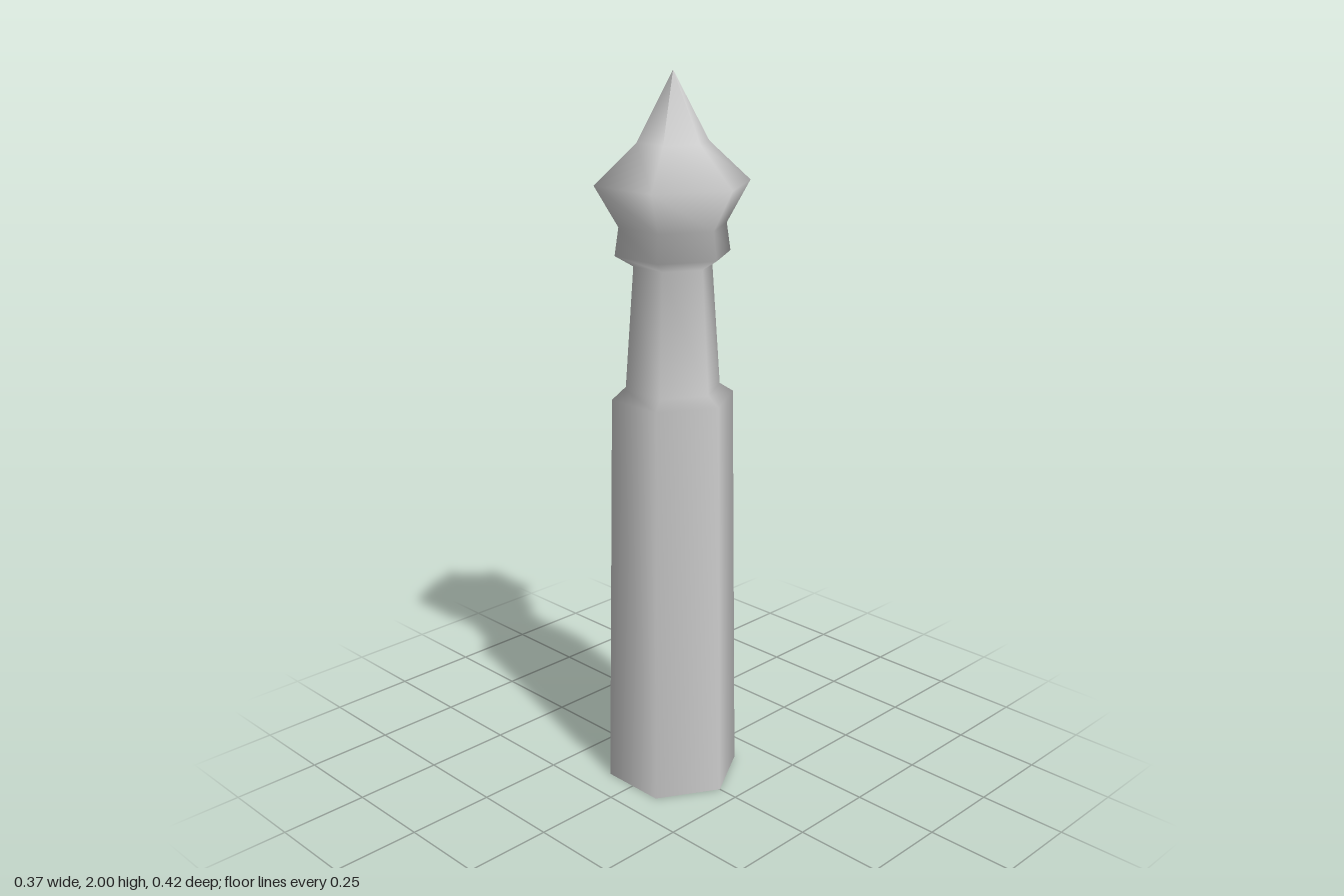
import * as THREE from 'three';

export function createModel() {
  const group = new THREE.Group();

  // Outline from foot to tip: [corner radius, height]
  const profile = [
    [0.19, 0], [0.17, 1.14],       // tapered shaft
    [0.132, 1.165], [0.108, 1.5],  // shoulder and neck
    [0.158, 1.53], [0.147, 1.605], // collar
    [0.211, 1.715], [0.097, 1.82], // bulb
    [0, 2],                        // spike
  ].map(([r, y]) => new THREE.Vector2(r, y));

  // Six-sided hollow post, open at the foot, with corners on the z axis
  const material = new THREE.MeshStandardMaterial({ color: 0xcccccc, side: THREE.DoubleSide });
  const post = new THREE.Mesh(new THREE.LatheGeometry(profile, 6), material);
  post.name = 'spikedPost';
  group.add(post);

  return group;
}
